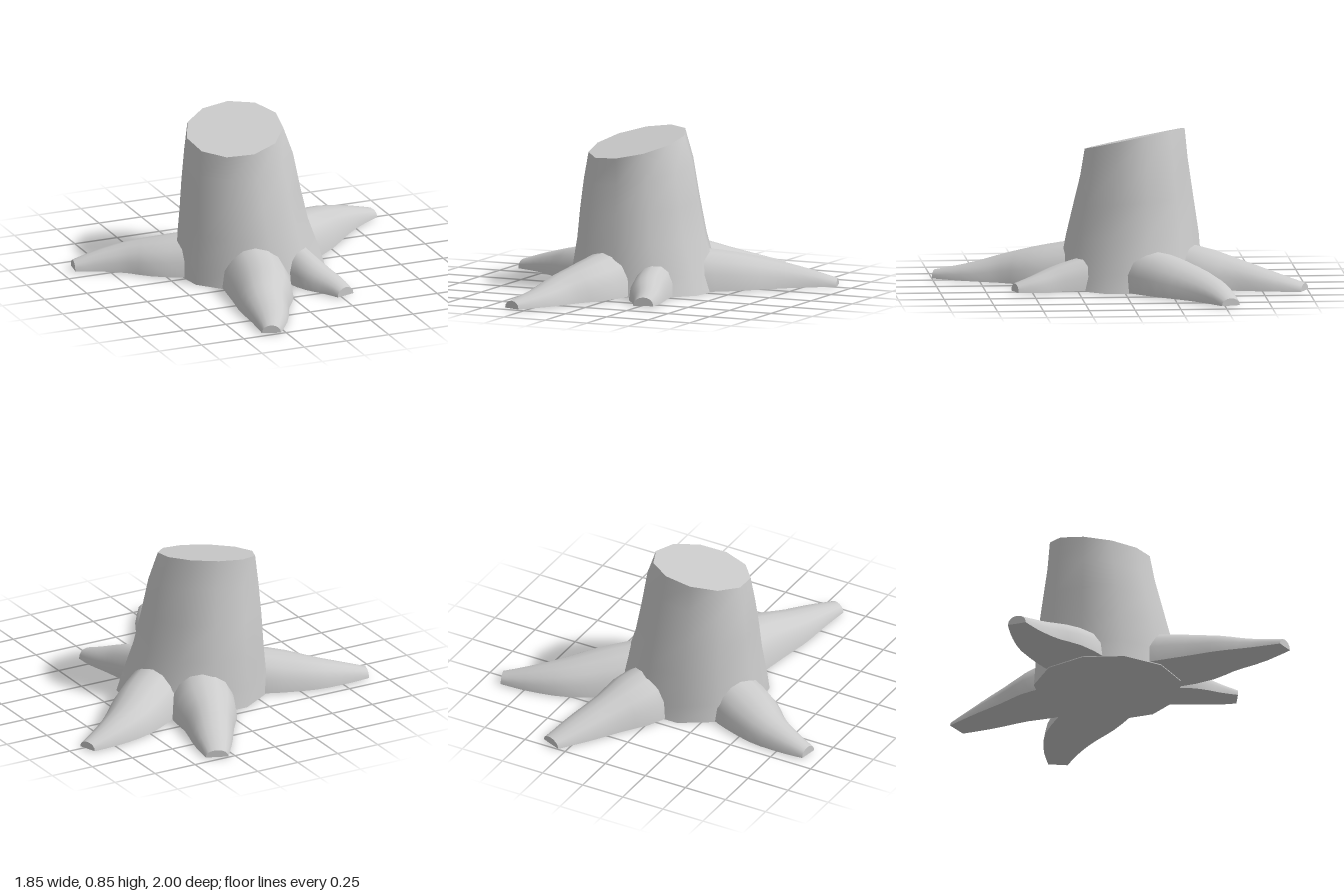
import * as THREE from 'three';
import { toCreasedNormals } from 'three/addons/utils/BufferGeometryUtils.js';

const material = new THREE.MeshStandardMaterial({ color: 0xcccccc });

// Skin closed rings (counter-clockwise seen from the last ring) and cap both ends.
function loft(name, rings) {
  const n = rings[0].length;
  const positions = [];
  const tri = (...points) => points.forEach((p) => positions.push(p.x, p.y, p.z));
  for (let i = 0; i < rings.length - 1; i++) {
    for (let j = 0; j < n; j++) {
      const k = (j + 1) % n;
      const a = rings[i], b = rings[i + 1];
      tri(a[j], a[k], b[k]);
      tri(a[j], b[k], b[j]);
    }
  }
  const first = rings[0], last = rings[rings.length - 1];
  for (let j = 1; j < n - 1; j++) {
    tri(first[0], first[j + 1], first[j]);
    tri(last[0], last[j], last[j + 1]);
  }
  const geometry = new THREE.BufferGeometry();
  geometry.setAttribute('position', new THREE.Float32BufferAttribute(positions, 3));
  const mesh = new THREE.Mesh(toCreasedNormals(geometry, 0.85), material);
  mesh.name = name;
  return mesh;
}

// Trunk rings: height, centre x, centre z, radius x, radius z, share of the slanted cut
function makeTrunk() {
  const sides = 11;
  const profile = [
    [0, -0.02, -0.06, 0.42, 0.405, 0],
    [0.1, -0.03, -0.065, 0.4, 0.39, 0],
    [0.28, -0.05, -0.075, 0.355, 0.365, 0.1],
    [0.46, -0.065, -0.08, 0.33, 0.33, 0.4],
    [0.64, -0.075, -0.085, 0.305, 0.295, 0.8],
    [0.79, -0.09, -0.09, 0.265, 0.275, 1],
  ];
  return loft('trunk', profile.map(([y, cx, cz, rx, rz, slant]) => {
    const ring = [];
    for (let j = 0; j < sides; j++) {
      const a = ((j + 0.25) / sides) * Math.PI * 2;
      const dx = Math.cos(a) * rx, dz = -Math.sin(a) * rz;
      ring.push(new THREE.Vector3(cx + dx, y + slant * (0.14 * dx - 0.2 * dz), cz + dz));
    }
    return ring;
  }));
}

// Root: flat-bottomed arches swept along stations of [x, z, half width, height]
function makeRoot(name, stations) {
  const steps = 10, arch = 8, floor = 0.005;
  const path = new THREE.CatmullRomCurve3(stations.map(([x, z]) => new THREE.Vector3(x, 0, z)));
  const size = new THREE.CatmullRomCurve3(stations.map(([, , w, h]) => new THREE.Vector3(w, h, 0)));
  const rings = [];
  for (let i = 0; i <= steps; i++) {
    const centre = path.getPoint(i / steps);
    const d = path.getTangent(i / steps);
    const { x: w, y: h } = size.getPoint(i / steps);
    const ring = [];
    for (let j = 0; j <= arch; j++) {
      const t = (j / arch) * Math.PI;
      const across = Math.cos(t) * w;
      const up = Math.pow(Math.max(0, Math.sin(t)), 0.9) * (h - floor);
      ring.push(new THREE.Vector3(centre.x + d.z * across, floor + up, centre.z - d.x * across));
    }
    rings.push(ring);
  }
  return loft(name, rings);
}

export function createModel() {
  const group = new THREE.Group();
  group.name = 'treeStump';
  group.add(makeTrunk());

  // Five roots, each from inside the trunk out to a blunt tip
  const roots = {
    backRoot: [[0.05, -0.25, 0.17, 0.25], [0.13, -0.45, 0.18, 0.22], [0.2, -0.63, 0.135, 0.16],
      [0.28, -0.81, 0.105, 0.1], [0.35, -0.978, 0.063, 0.045]],
    leftRoot: [[0.23, -0.13, 0.18, 0.23], [0.395, -0.255, 0.175, 0.2], [0.57, -0.39, 0.145, 0.15],
      [0.74, -0.475, 0.1, 0.1], [0.905, -0.53, 0.053, 0.045]],
    rightRoot: [[-0.25, -0.12, 0.17, 0.22], [-0.46, -0.22, 0.17, 0.18], [-0.62, -0.31, 0.13, 0.14],
      [-0.785, -0.36, 0.085, 0.095], [-0.918, -0.382, 0.052, 0.052]],
    frontRightRoot: [[-0.11, 0.2, 0.18, 0.24], [-0.15, 0.43, 0.175, 0.2], [-0.215, 0.61, 0.14, 0.15],
      [-0.26, 0.79, 0.105, 0.095], [-0.33, 0.985, 0.052, 0.048]],
    frontLeftRoot: [[0.15, 0.18, 0.11, 0.19], [0.19, 0.36, 0.105, 0.14],
      [0.245, 0.49, 0.08, 0.09], [0.275, 0.595, 0.055, 0.052]],
  };
  for (const [name, stations] of Object.entries(roots)) group.add(makeRoot(name, stations));
  return group;
}
